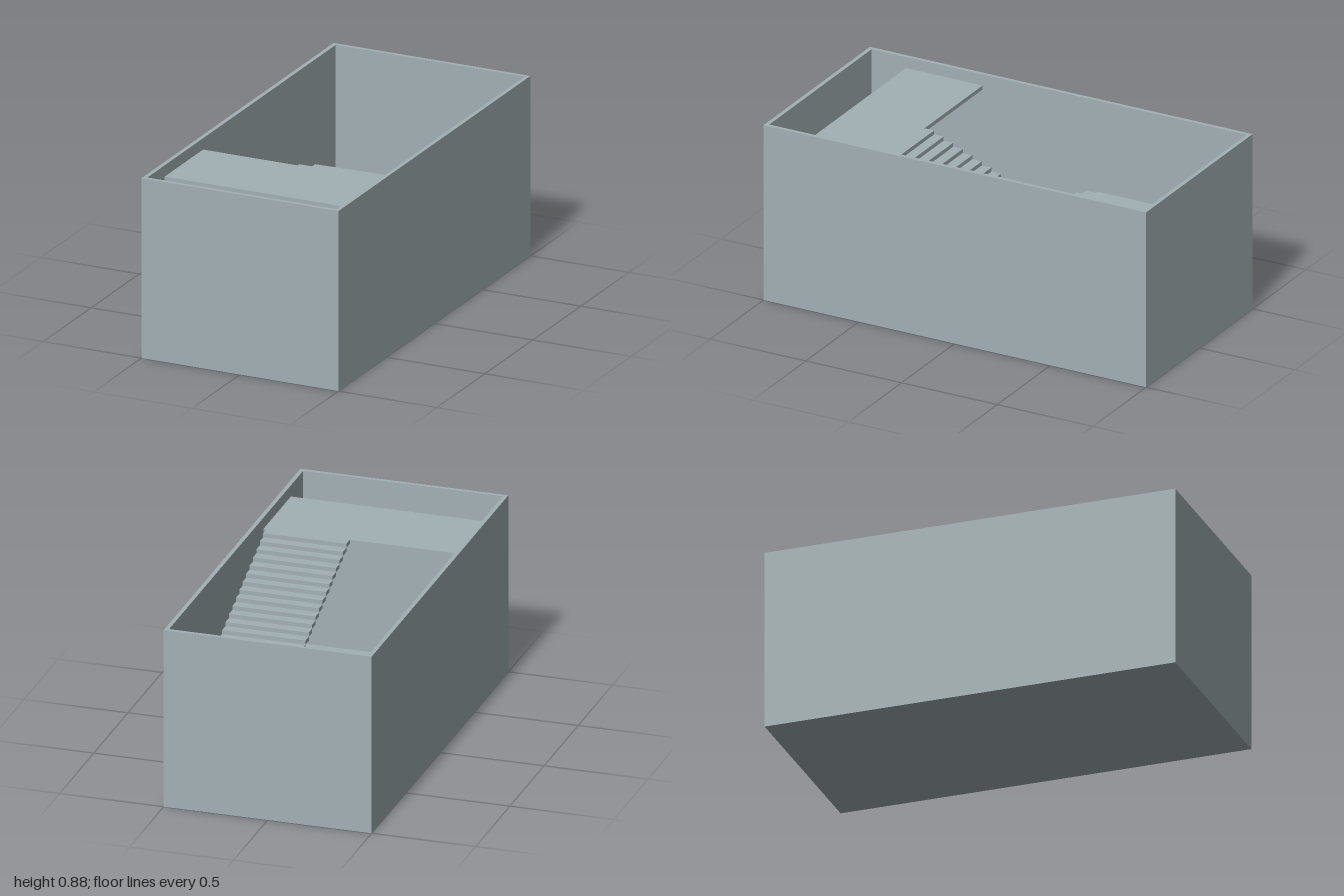
import * as THREE from 'three';

const T = 0.02;          // wall, slab and riser thickness
const TREAD = 0.05;
const STEPS = 20;

export function createModel() {
  const model = new THREE.Group();
  model.name = 'stairwell';
  const concrete = new THREE.MeshStandardMaterial({ color: 0xa2b0b4 });
  concrete.name = 'grey concrete';

  const add = (parent, name, geometry, x, y, z) => {
    const mesh = new THREE.Mesh(geometry, concrete);
    mesh.name = name;
    mesh.position.set(x, y, z);
    parent.add(mesh);
    return mesh;
  };

  // Open-topped rectangular shell
  const rect = (P, w, d) => {
    const p = new P();
    p.moveTo(-w, -d).lineTo(w, -d).lineTo(w, d).lineTo(-w, d).closePath();
    return p;
  };
  const outline = rect(THREE.Shape, 0.5, 1);
  outline.holes.push(rect(THREE.Path, 0.5 - T, 1 - T));
  const walls = new THREE.ExtrudeGeometry(outline, { depth: 0.875, bevelEnabled: false });
  walls.rotateX(-Math.PI / 2);
  add(model, 'walls', walls, 0, 0, 0);
  add(model, 'floor', new THREE.BoxGeometry(0.96, T, 1.96), 0, T / 2, 0);

  // Landings span the full width between the side walls
  const slab = new THREE.BoxGeometry(0.96, T, 0.4);
  add(model, 'middleLanding', slab, 0, 0.41, -0.4);
  add(model, 'upperLanding', slab, 0, 0.81, 0.6);

  // Each flight is a run of thin slabs, every one resting on the edge of the last
  const step = new THREE.BoxGeometry(0.4, T, TREAD);
  const flight = (name, x, baseY, startZ, dir) => {
    const group = new THREE.Group();
    group.name = name;
    for (let i = 0; i < STEPS; i++) {
      add(group, 'step', step, x, baseY + (i + 0.5) * T, startZ + dir * (i + 0.5) * TREAD);
    }
    model.add(group);
  };
  flight('lowerFlight', -0.265, 0.02, 0.8, -1);
  flight('upperFlight', 0.265, 0.42, -0.6, 1);

  return model;
}
